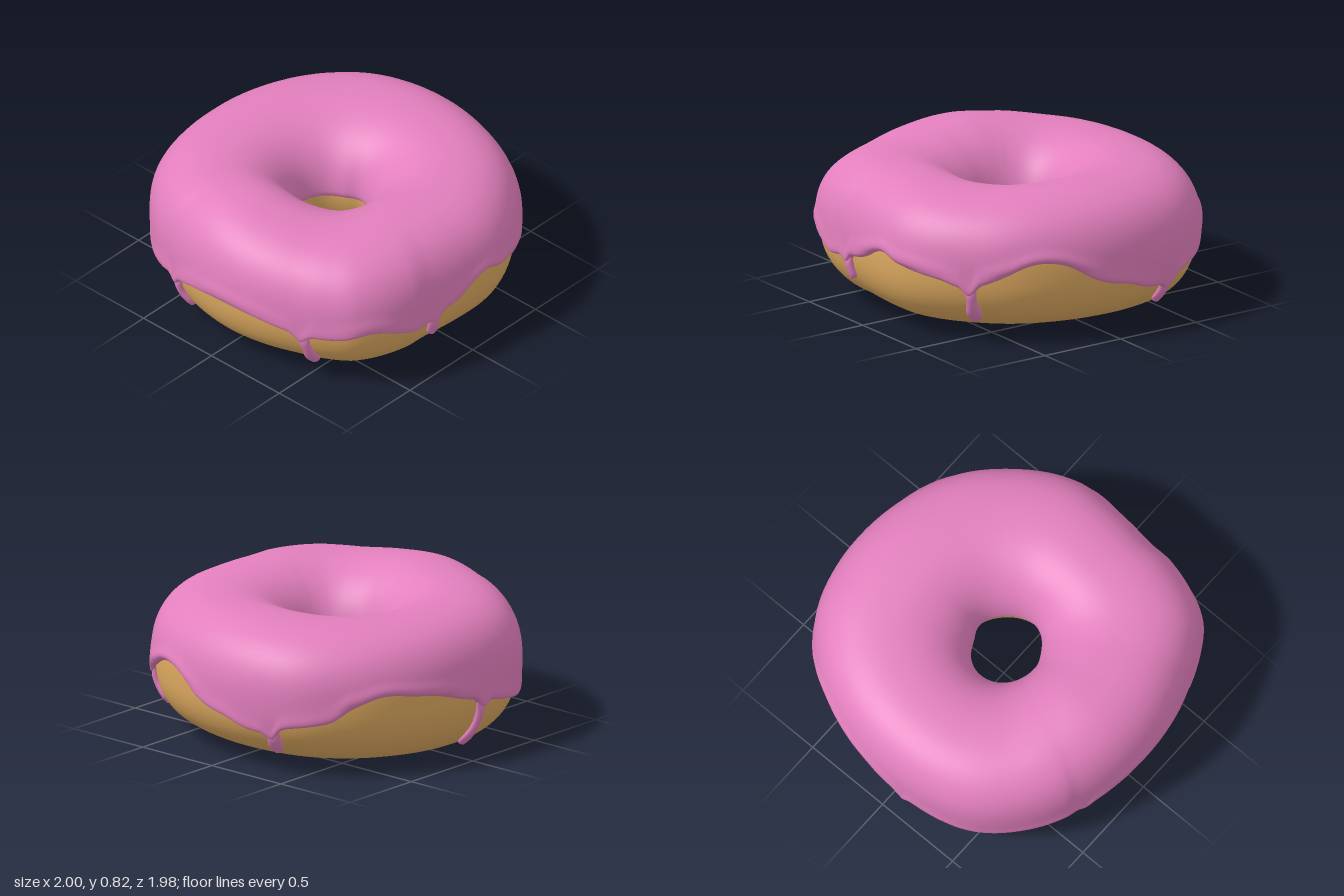
import * as THREE from 'three';

const TAU = Math.PI * 2;

// Smooth periodic curve through [degrees, value] pairs
function ring(pairs) {
  const n = pairs.length;
  const at = (i) => {
    const k = ((i % n) + n) % n;
    return [pairs[k][0] + 360 * Math.floor(i / n), pairs[k][1]];
  };
  const slope = (i) => {
    const a = at(i - 1), b = at(i + 1);
    return (b[1] - a[1]) / (b[0] - a[0]);
  };
  return (theta) => {
    let d = ((theta / TAU) * 360) % 360;
    if (d < 0) d += 360;
    let i = -1;
    while (at(i + 1)[0] <= d) i++;
    const p = at(i), q = at(i + 1), h = q[0] - p[0], t = (d - p[0]) / h;
    const t2 = t * t, t3 = t2 * t;
    return (2 * t3 - 3 * t2 + 1) * p[1] + (t3 - 2 * t2 + t) * h * slope(i)
      + (3 * t2 - 2 * t3) * q[1] + (t3 - t2) * h * slope(i + 1);
  };
}

// Hand-shaped outline, hole, top and bottom (angles run from +x towards +z)
const outer = ring([[0, .997], [17, .99], [36, 1], [51, 1], [73, 1.01], [90, .98], [104, .985], [113, 1.03],
  [131, 1.085], [141, 1.06], [153, 1.02], [180, .995], [204, .985], [209, 1], [223, 1.015], [239, 1.025],
  [258, 1], [270, .99], [290, 1], [311, 1.025], [329, 1.038], [346, 1.015]]);
const hole = ring([[0, .176], [51, .174], [108, .208], [151, .204], [180, .218], [223, .228], [257, .222],
  [296, .19], [330, .163]]);
const top = ring([[0, .785], [50, .772], [110, .79], [146, .783], [166, .802], [188, .822], [209, .803],
  [230, .777], [270, .77], [315, .772]]);
const bottom = ring([[0, .045], [90, .04], [180, .035], [215, .015], [257, 0], [300, .02]]);

// Height of the icing's wavy lower edge
const edge = ring([[3, .32], [9, .36], [17, .44], [24.5, .468], [31, .453], [39, .39], [45, .35], [49, .33],
  [54, .335], [59, .36], [66, .38], [75, .408], [81, .443], [86, .428], [90, .39], [96, .35], [104, .33],
  [112, .3], [119, .335], [127, .37], [136, .34], [144, .33], [153, .34], [165, .37], [178, .38], [190, .35],
  [198, .31], [210, .275], [222, .24], [237, .22], [250, .26], [260, .3], [272, .35], [282, .4], [292, .43],
  [303, .448], [313, .39], [319, .325], [325, .3], [334, .275], [341, .24], [348, .25], [355, .29]]);

// Drips: start angle, tip angle, tip height, neck and bulb half-widths
const DRIPS = [
  [49.5, 48.5, .13, .025, .044], [104, 104, .195, .03, .036], [148.5, 144.5, .115, .026, .041],
  [202, 201.5, .095, .026, .041], [263, 264, .055, .025, .039], [338.5, 338, .12, .025, .041],
];

const MID = .4, ICING = .024, GAP = .03, OUTSIDE = 2.45, INSIDE = 2.1;
const power = (x, e) => Math.sign(x) * Math.abs(x) ** e;

// Point on the dough ring; phi 0 is the outside, PI/2 the top; off lifts it off the dough.
// The outside is fuller than the funnel-like inside.
function surface(theta, phi, off = 0) {
  const R = outer(theta) - GAP + off, I = hole(theta) + ICING - off;
  const c = Math.cos(phi), s = Math.sin(phi), e = 2 / (c > 0 ? OUTSIDE : INSIDE);
  const h = s >= 0 ? top(theta) - ICING - MID + off : MID - bottom(theta) + off;
  const r = (R + I) / 2 + ((R - I) / 2) * power(c, e);
  return new THREE.Vector3(r * Math.cos(theta), MID + h * power(s, e), r * Math.sin(theta));
}

// Angle phi on the outside at which the ring has height y
function phiAt(theta, y) {
  const h = y > MID ? top(theta) - ICING - MID : MID - bottom(theta);
  return Math.asin(power(Math.max(-1, Math.min(1, (y - MID) / h)), OUTSIDE / 2));
}

// The lower edge, pulled down a little where a drip starts
function icingEdge(theta) {
  let y = edge(theta);
  const deg = (theta / TAU) * 360;
  for (const [start] of DRIPS) y -= .045 * Math.exp(-(((deg - start) / 2.3) ** 2));
  return y;
}

// Smooth surface grid, closed around u and optionally around v
function grid(nu, nv, closeV, fn) {
  const pos = [], idx = [], rows = closeV ? nv : nv + 1;
  for (let i = 0; i < nu; i++)
    for (let j = 0; j < rows; j++) pos.push(...fn(i / nu, j / nv).toArray());
  for (let i = 0; i < nu; i++)
    for (let j = 0; j < nv; j++) {
      const i2 = (i + 1) % nu, j2 = (j + 1) % rows;
      const a = i * rows + j, b = i2 * rows + j, c = i * rows + j2, d = i2 * rows + j2;
      idx.push(a, c, b, b, c, d);
    }
  const g = new THREE.BufferGeometry();
  g.setAttribute('position', new THREE.Float32BufferAttribute(pos, 3));
  g.setIndex(idx);
  g.computeVertexNormals();
  return g;
}

// Icing shell with rounded rims and a slight bead along the outer one
function icingGeometry() {
  return grid(480, 56, false, (u, v) => {
    const theta = u * TAU;
    const s = v - Math.sin(TAU * v) / TAU * .92; // rows crowd towards both rims
    const from = phiAt(theta, icingEdge(theta)), to = Math.PI + .03;
    const rim = (x, w) => Math.sqrt(1 - (1 - Math.min(x / w, 1)) ** 2);
    const bead = .009 * Math.exp(-(((s - .025) / .025) ** 2));
    const off = -.006 + (ICING + .006 + bead) * rim(s, .018) * rim(1 - s, .03);
    return surface(theta, from + (to - from) * s, off);
  });
}

// A drip hugging the side: slim neck, round bulb, closed tip
function dripGeometry([start, end, tip, neck, bulb]) {
  const a0 = (start / 360) * TAU, a1 = (end / 360) * TAU;
  const y0 = edge(a0) + .015, len = y0 - tip;
  const centre = (s) => {
    const a = a0 + (a1 - a0) * s;
    return surface(a, phiAt(a, y0 - len * s), .006);
  };
  return grid(20, 32, false, (u, v) => {
    const s = Math.sin(v * Math.PI / 2);
    const a = a0 + (a1 - a0) * s, c = centre(s);
    const side = new THREE.Vector3(-Math.sin(a), 0, Math.cos(a));
    const along = centre(Math.min(1, s + .01)).sub(centre(s - .01)).normalize();
    const normal = side.clone().cross(along).normalize();
    const toTip = len * (1 - s);
    let w = neck + (bulb - neck) * Math.exp(-(((toTip - bulb) / .05) ** 2));
    w += .015 * Math.exp(-((s * len / .06) ** 2));
    if (toTip < bulb) w *= Math.sqrt(Math.max(0, 1 - (1 - toTip / bulb) ** 2));
    // thin at the top so that it slips under the icing
    const depth = Math.min(w, .025) * (.4 + .6 * THREE.MathUtils.smoothstep(s * len, 0, .07));
    return c.addScaledVector(side, w * Math.cos(u * TAU)).addScaledVector(normal, depth * Math.sin(u * TAU));
  });
}

export function createModel() {
  const dough = new THREE.MeshStandardMaterial({ color: 0xdca85f });
  dough.name = 'golden dough';
  const pink = new THREE.MeshStandardMaterial({ color: 0xe27fbd });
  pink.name = 'pink icing';

  const group = new THREE.Group();
  group.name = 'doughnut';
  const add = (name, geometry, material) => {
    const mesh = new THREE.Mesh(geometry, material);
    mesh.name = name;
    group.add(mesh);
  };

  add('doughRing', grid(144, 64, true, (u, v) => surface(u * TAU, (v * 2 - .5) * Math.PI)), dough);
  add('icing', icingGeometry(), pink);
  DRIPS.forEach((d, i) => add('icingDrip' + (i + 1), dripGeometry(d), pink));
  return group;
}
